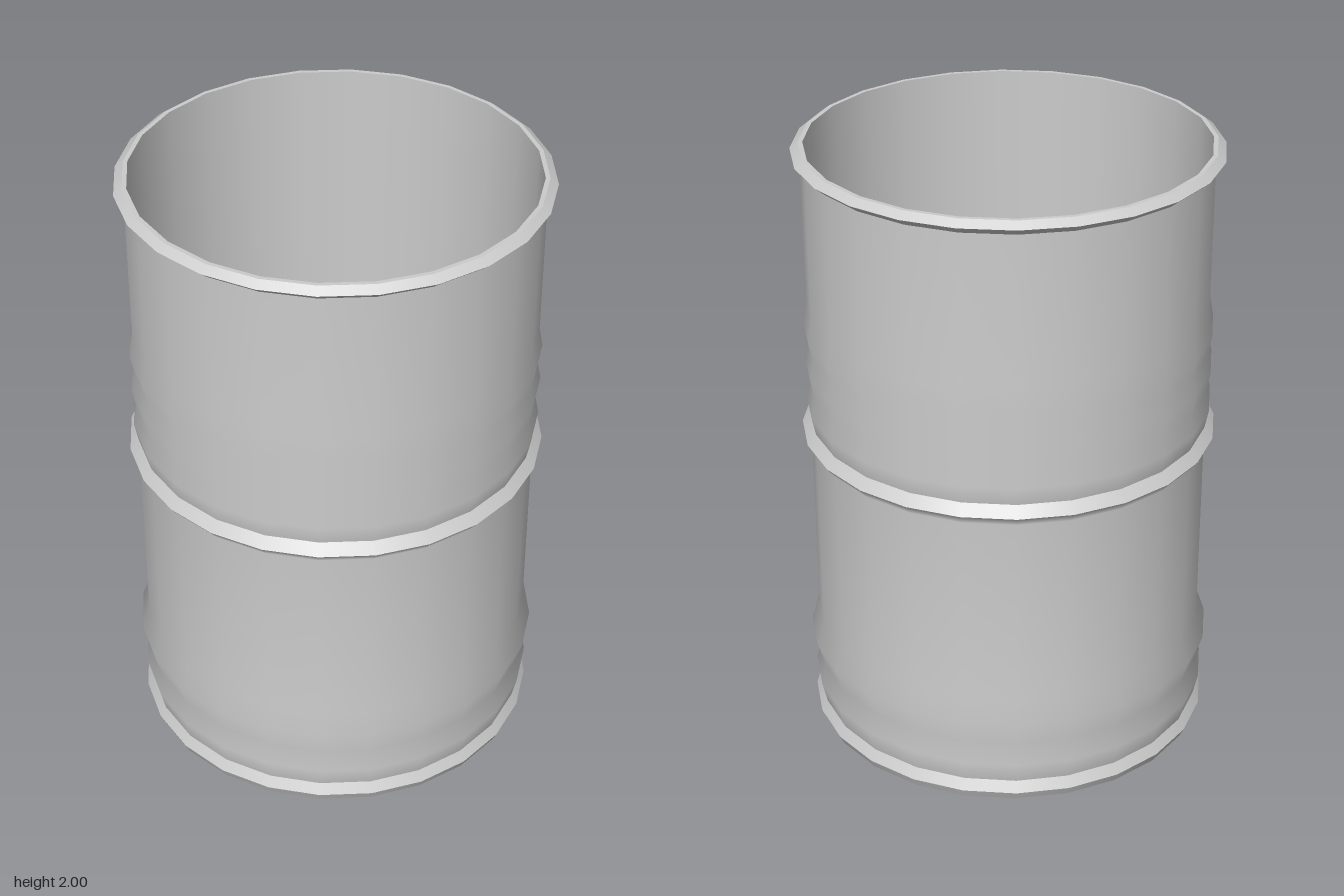
import * as THREE from 'three';

const SIDES = 24;
const R = 0.638;      // outer wall
const INNER = 0.628;  // inner wall

export function createModel() {
  const model = new THREE.Group();
  model.name = 'openDrum';
  const material = new THREE.MeshStandardMaterial({ color: 0xcccccc, side: THREE.DoubleSide });

  // Each band is smooth within itself and has sharp edges against its neighbours.
  const addBand = (name, profile, parent = model) => {
    const points = profile.map(([r, y]) => new THREE.Vector2(r, y));
    const mesh = new THREE.Mesh(new THREE.LatheGeometry(points, SIDES), material);
    mesh.name = name;
    parent.add(mesh);
  };
  const addGroup = (name) => {
    const group = new THREE.Group();
    group.name = name;
    model.add(group);
    return group;
  };

  // Bottom rim
  const bottomRim = addGroup('bottomRim');
  addBand('bottomRimUnderside', [[INNER, 0], [0.644, 0]], bottomRim);
  addBand('bottomRimLower', [[0.644, 0], [0.658, 0.03]], bottomRim);
  addBand('bottomRimUpper', [[0.658, 0.03], [R, 0.065]], bottomRim);

  // Lower wall with two soft ribs, flaring into the middle hoop
  addBand('lowerWall', [
    [R, 0.065], [0.654, 0.135], [R, 0.21], [0.664, 0.295], [R, 0.37],
    [R, 1.01], [0.666, 1.045],
  ]);
  addBand('middleHoopTop', [[0.666, 1.045], [R, 1.08]]);

  // Upper wall with three shallow ribs
  const ribs = [1.14, 1.275, 1.4].flatMap((y) => [[0.65, y], [R, y + 0.065]]);
  addBand('upperWall', [[R, 1.08], ...ribs, [R, 1.955]]);

  // Top rim
  const topRim = addGroup('topRim');
  addBand('topRimLower', [[R, 1.955], [0.668, 1.98]], topRim);
  addBand('topRimUpper', [[0.668, 1.98], [0.642, 2]], topRim);
  addBand('topRimLip', [[0.642, 2], [INNER, 2]], topRim);

  // Plain inner wall, open at both ends
  addBand('innerWall', [[INNER, 2], [INNER, 0]]);

  return model;
}
